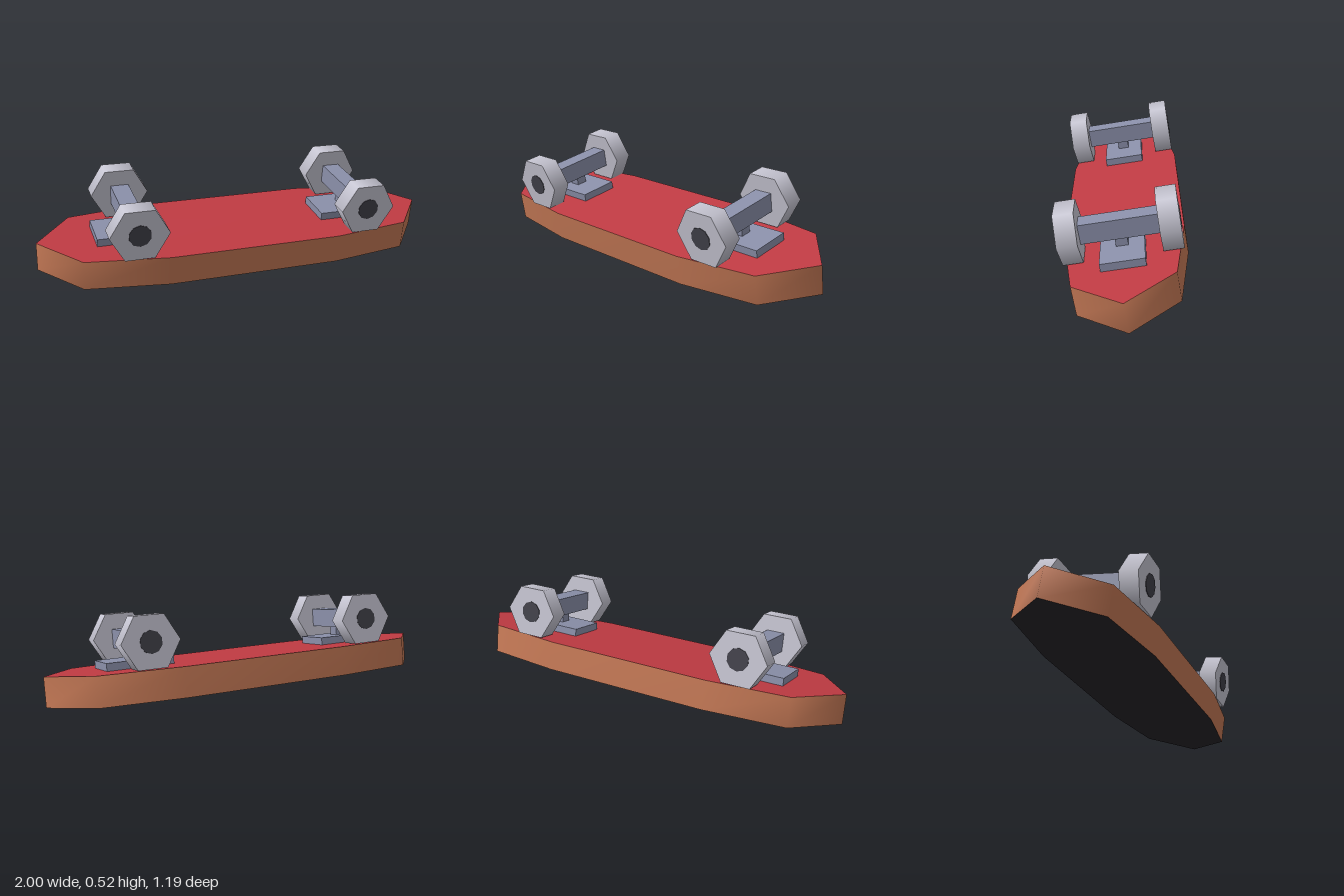
import * as THREE from 'three';
import { toCreasedNormals } from 'three/addons/utils/BufferGeometryUtils.js';

const mat = (name, color) => {
  const m = new THREE.MeshStandardMaterial({ color });
  m.name = name;
  return m;
};
const wood = mat('wood', 0xc47855);
const red = mat('red underside', 0xc03b43);
const black = mat('black grip', 0x262429);
const metal = mat('blue grey metal', 0x8b90aa);
const wheelGrey = mat('wheel grey', 0xc6c5d2);
const hubGrey = mat('hub dark grey', 0x42414a);

const DECK_T = 0.155;
const AXLE_Y = 0.214;

function add(parent, name, geometry, material, x = 0, y = 0, z = 0) {
  const mesh = new THREE.Mesh(geometry, material);
  mesh.name = name;
  mesh.position.set(x, y, z);
  parent.add(mesh);
  return mesh;
}

// Ten-sided prism whose rim is moved onto the board outline
function deckGeometry() {
  const outline = [
    [1.087, 0], [0.89, -0.243], [0.46, -0.302], [-0.46, -0.302], [-0.89, -0.243],
    [-1.087, 0], [-0.89, 0.243], [-0.46, 0.302], [0.46, 0.302], [0.89, 0.243],
  ];
  const g = new THREE.CylinderGeometry(1, 1, DECK_T, 10, 1, false, Math.PI / 2);
  const p = g.attributes.position;
  for (let i = 0; i < p.count; i++) {
    const x = p.getX(i), z = p.getZ(i);
    if (Math.hypot(x, z) < 0.5) continue; // cap centres
    const k = (Math.round(Math.atan2(-z, x) / (Math.PI / 5)) + 10) % 10;
    p.setXYZ(i, outline[k][0], p.getY(i), outline[k][1]);
  }
  return toCreasedNormals(g, 1.48);
}

// Hexagonal wheel with a dark disc on its outer face
function createWheel(side) {
  const wheel = new THREE.Group();
  wheel.name = 'wheel';
  const tyre = new THREE.CylinderGeometry(0.152, 0.152, 0.1, 6, 1, false, Math.PI / 2).rotateX(Math.PI / 2);
  add(wheel, 'tyre', tyre, wheelGrey);
  const disc = new THREE.CylinderGeometry(0.058, 0.058, 0.006, 10).rotateX(Math.PI / 2);
  add(wheel, 'hub', disc, hubGrey, 0, 0, side * 0.05);
  wheel.position.set(0, AXLE_Y, side * 0.24);
  return wheel;
}

function createTruck(x) {
  const truck = new THREE.Group();
  truck.name = 'truck';
  const deckTop = DECK_T / 2;
  add(truck, 'basePlate', new THREE.BoxGeometry(0.355, 0.04, 0.215), metal, 0, deckTop + 0.02, 0);
  add(truck, 'post', new THREE.BoxGeometry(0.06, 0.06, 0.06), metal, 0, deckTop + 0.065, 0);
  add(truck, 'axle', new THREE.BoxGeometry(0.095, 0.1, 0.4), metal, 0, AXLE_Y, 0);
  for (const side of [-1, 1]) truck.add(createWheel(side));
  truck.position.x = x;
  return truck;
}

export function createModel() {
  const model = new THREE.Group();
  model.name = 'upturnedBoard';

  // Board lies wheels up, turned and rolled about its long axis
  const board = new THREE.Group();
  board.name = 'board';
  add(board, 'deck', deckGeometry(), [wood, red, black]);
  for (const x of [-0.62, 0.62]) board.add(createTruck(x));
  board.rotation.order = 'YXZ';
  board.rotation.set(THREE.MathUtils.degToRad(9.5), THREE.MathUtils.degToRad(-23.5), 0);
  board.position.set(0, 0.127, -0.008);
  model.add(board);
  return model;
}
